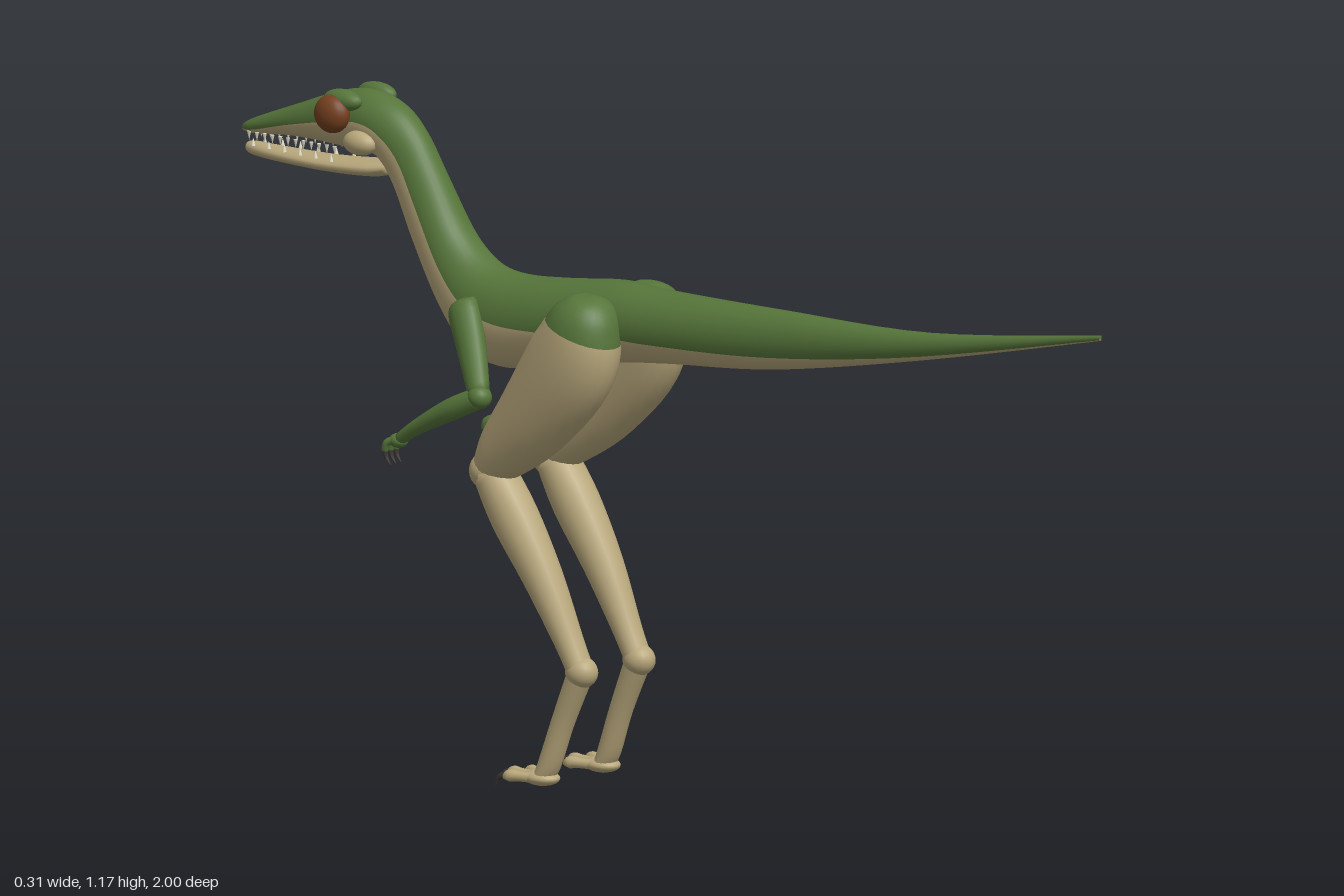
import * as THREE from 'three';

const mat = (name, color) => {
  const m = new THREE.MeshStandardMaterial({ color });
  m.name = name;
  return m;
};

// Catmull-Rom smoothing of a list of number rows
function smooth(rows, steps) {
  const at = i => rows[Math.max(0, Math.min(rows.length - 1, i))];
  const out = [];
  for (let i = 0; i < rows.length - 1; i++) {
    for (let s = 0; s < steps; s++) {
      const t = s / steps;
      out.push(at(i).map((b, k) => {
        const a = at(i - 1)[k], c = at(i + 1)[k], d = at(i + 2)[k];
        return b + 0.5 * t * (c - a + t * (2 * a - 5 * b + 4 * c - d + t * (3 * (b - c) + d - a)));
      }));
    }
  }
  out.push(rows[rows.length - 1]);
  return out;
}

// Skin over rings {c: centre, u: half height vector, w: half width, a: half angle of the upper colour}
// pick(ring, segment) chooses the material index of each quad.
function loft(rings, n, pick = () => 0) {
  const pos = [], lists = [[], []], geo = new THREE.BufferGeometry();
  for (const { c, u, w, a = Math.PI / 2 } of rings) {
    for (let k = 0; k < n; k++) {
      const h = n / 2;
      const th = k < h ? -a + (2 * a * k) / h : a + ((2 * Math.PI - 2 * a) * (k - h)) / h;
      const co = Math.cos(th), si = Math.sin(th);
      pos.push(c.x + u.x * co + w * si, c.y + u.y * co, c.z + u.z * co);
    }
  }
  const last = rings.length - 1, p0 = pos.length / 3;
  pos.push(...rings[0].c.toArray(), ...rings[last].c.toArray());
  for (let k = 0; k < n; k++) {
    const k1 = (k + 1) % n;
    for (let i = 0; i < last; i++) {
      const a = i * n + k, b = i * n + k1;
      lists[pick(i, k)].push(a, b, a + n, b, b + n, a + n);
    }
    lists[pick(0, k)].push(p0, k1, k);
    lists[pick(last - 1, k)].push(p0 + 1, last * n + k, last * n + k1);
  }
  geo.setAttribute('position', new THREE.Float32BufferAttribute(pos, 3));
  geo.setIndex([...lists[0], ...lists[1]]);
  geo.addGroup(0, lists[0].length, 0);
  geo.addGroup(lists[0].length, lists[1].length, 1);
  geo.computeVertexNormals();
  return geo;
}

// Body section rows: top z, top y, bottom z, bottom y, half width, upper colour angle
const sections = (rows, steps) => smooth(rows, steps).map(([tz, ty, bz, by, w, a]) => ({
  c: new THREE.Vector3(0, (ty + by) / 2, (tz + bz) / 2),
  u: new THREE.Vector3(0, (ty - by) / 2, (tz - bz) / 2), w, a,
}));

// Limb rows: x, y, z, half depth, half width
function limb(rows, steps) {
  const r = smooth(rows, steps);
  return r.map(([x, y, z, d, w], i) => {
    const p = r[Math.max(0, i - 1)], q = r[Math.min(r.length - 1, i + 1)];
    const t = new THREE.Vector3(0, q[1] - p[1], q[2] - p[2]).normalize();
    return { c: new THREE.Vector3(x, y, z), u: new THREE.Vector3(0, -t.z, t.y).multiplyScalar(d), w };
  });
}

export function createModel() {
  const g = new THREE.Group();
  const green = mat('back green', 0x56753a), tan = mat('belly tan', 0xb9a87c);
  const brown = mat('eye brown', 0x74401f), dark = mat('claw grey', 0x3d3636);
  const ivory = mat('tooth ivory', 0xe6dfcc);
  const add = (name, geo, m) => {
    const mesh = new THREE.Mesh(geo, m);
    mesh.name = name;
    g.add(mesh);
    return mesh;
  };
  const ball = (name, m, x, y, z, sx, sy, sz) => {
    const b = add(name, new THREE.SphereGeometry(1, 20, 14), m);
    b.position.set(x, y, z);
    b.scale.set(sx, sy, sz);
    return b;
  };
  const part = (name, rows, m, n = 14, steps = 4) => add(name, loft(limb(rows, steps), n), m);
  const upper = (i, k) => (k < 16 ? 0 : 1);

  // Tail, trunk, neck and upper skull in one skin, green above and tan below
  add('body', loft(sections([
    [1, .963, 1, .953, .005, 2.3],
    [.6, .914, .6, .866, .022, 2.3],
    [.25, .908, .25, .802, .044, 2.1],
    [0, .907, 0, .779, .062, 1.95],
    [-.12, .911, -.12, .765, .07, 1.8],
    [-.25, .897, -.27, .737, .075, 1.65],
    [-.35, .891, -.39, .722, .072, 1.5],
    [-.42, .904, -.465, .748, .064, 1.45],
    [-.48, .952, -.528, .815, .055, 1.45],
    [-.54, 1.045, -.59, .915, .046, 1.45],
    [-.585, 1.112, -.632, 1, .043, 1.45],
    [-.635, 1.154, -.662, 1.045, .046, 1.5],
    [-.7, 1.172, -.69, 1.06, .048, 1.5],
    [-.77, 1.162, -.77, 1.064, .042, 1.6],
    [-.88, 1.122, -.88, 1.066, .031, 1.75],
    [-.97, 1.088, -.97, 1.058, .02, 2],
    [-1, 1.073, -1, 1.06, .007, 2],
  ], 6), 32, upper), [green, tan]);

  // Lower jaw
  add('lowerJaw', loft(sections([
    [-.645, 1.055, -.645, 1.03, .03, 1.57],
    [-.7, 1.05, -.69, 1.02, .042, 1.57],
    [-.8, 1.043, -.8, 1.015, .036, 1.57],
    [-.92, 1.043, -.92, 1.016, .024, 1.57],
    [-.98, 1.044, -.98, 1.02, .014, 1.57],
    [-.993, 1.038, -.993, 1.028, .005, 1.57],
  ], 4), 20), tan);

  for (const s of [1, -1]) {
    const side = s > 0 ? 'left' : 'right';

    // Eye, brow and cheek
    ball(side + 'Eye', brown, s * .06, 1.132, -.742, .025, .034, .036);
    ball(side + 'Brow', green, s * .045, 1.156, -.73, .02, .019, .042).rotation.z = -s * .5;
    ball(side + 'Cheek', tan, s * .045, 1.085, -.69, .022, .022, .035);

    // Teeth along both jaws
    for (let i = 0; i < 12; i++) {
      const f = i / 11, z = -.76 - .215 * f, x = s * (.033 - .017 * f);
      const t = add('upperTooth', new THREE.ConeGeometry(.004, .016, 6), ivory);
      t.position.set(x, 1.06 - .004 * f, z);
      t.rotation.x = Math.PI;
      if (i % 2) add('lowerTooth', new THREE.ConeGeometry(.004, .014, 6), ivory).position.set(x * .95, 1.046, z + .009);
    }

    // Thigh with a green hip
    const thigh = limb([
      [s * .08, .894, -.11, .008, .008],
      [s * .082, .882, -.113, .042, .04],
      [s * .086, .845, -.126, .07, .06],
      [s * .09, .77, -.157, .089, .062],
      [s * .088, .67, -.238, .076, .055],
      [s * .084, .595, -.315, .054, .046],
      [s * .082, .55, -.355, .03, .036],
    ], 5);
    add(side + 'Thigh', loft(thigh, 24, i => (i < 11 ? 0 : 1)), [green, tan]);
    ball(side + 'Knee', tan, s * .082, .555, -.35, .041, .036, .038);

    // Shin, ankle and instep
    part(side + 'Shin', [
      [s * .082, .555, -.345, .036, .04], [s * .081, .48, -.297, .044, .042],
      [s * .079, .38, -.232, .036, .036], [s * .076, .27, -.172, .025, .027],
      [s * .075, .215, -.143, .023, .025],
    ], tan, 18);
    ball(side + 'Ankle', tan, s * .075, .222, -.145, .028, .028, .03);
    part(side + 'Instep', [
      [s * .075, .225, -.145, .024, .024], [s * .076, .13, -.187, .021, .021],
      [s * .078, .05, -.217, .02, .022], [s * .079, .018, -.235, .014, .024],
    ], tan, 16);
    ball(side + 'FootPad', tan, s * .079, .024, -.235, .028, .014, .036);

    // Toes and claws
    for (const j of [-1, 0, 1]) {
      const x = s * .079 + j * .028, z = j ? -.292 : -.308;
      part(side + 'Toe', [
        [s * .079 + j * .01, .024, -.225, .01, .011], [x - j * .006, .025, z + .03, .009, .01],
        [x, .025, z + .008, .011, .011], [x, .021, z - .004, .005, .006],
      ], tan, 10);
      part(side + 'ToeClaw', [
        [x, .024, z, .007, .006], [x + j * .002, .019, z - .016, .005, .004], [x + j * .003, .001, z - .024, .001, .001],
      ], dark, 8);
    }

    // Arm
    part(side + 'UpperArm', [
      [s * .062, .845, -.435, .012, .012], [s * .068, .832, -.428, .031, .026],
      [s * .088, .775, -.392, .029, .026], [s * .122, .695, -.342, .02, .02],
    ], green, 16);
    ball(side + 'Elbow', green, s * .124, .692, -.34, .022, .021, .022);
    part(side + 'Forearm', [
      [s * .124, .692, -.338, .019, .019], [s * .134, .665, -.395, .02, .02],
      [s * .138, .625, -.47, .014, .014], [s * .134, .597, -.515, .011, .012],
    ], green, 14);
    ball(side + 'Palm', green, s * .132, .592, -.522, .016, .013, .018);

    // Fingers and claws
    for (const j of [-1, 0, 1]) {
      const x = s * .13 + j * .014;
      part(side + 'Finger', [
        [s * .132 + j * .006, .595, -.52, .007, .007], [x, .588, -.538, .007, .007], [x, .572, -.543, .006, .006],
      ], green, 8);
      part(side + 'FingerClaw', [
        [x, .577, -.543, .006, .005], [x, .562, -.54, .004, .004], [x, .549, -.53, .001, .001],
      ], dark, 8);
    }
  }
  return g;
}
